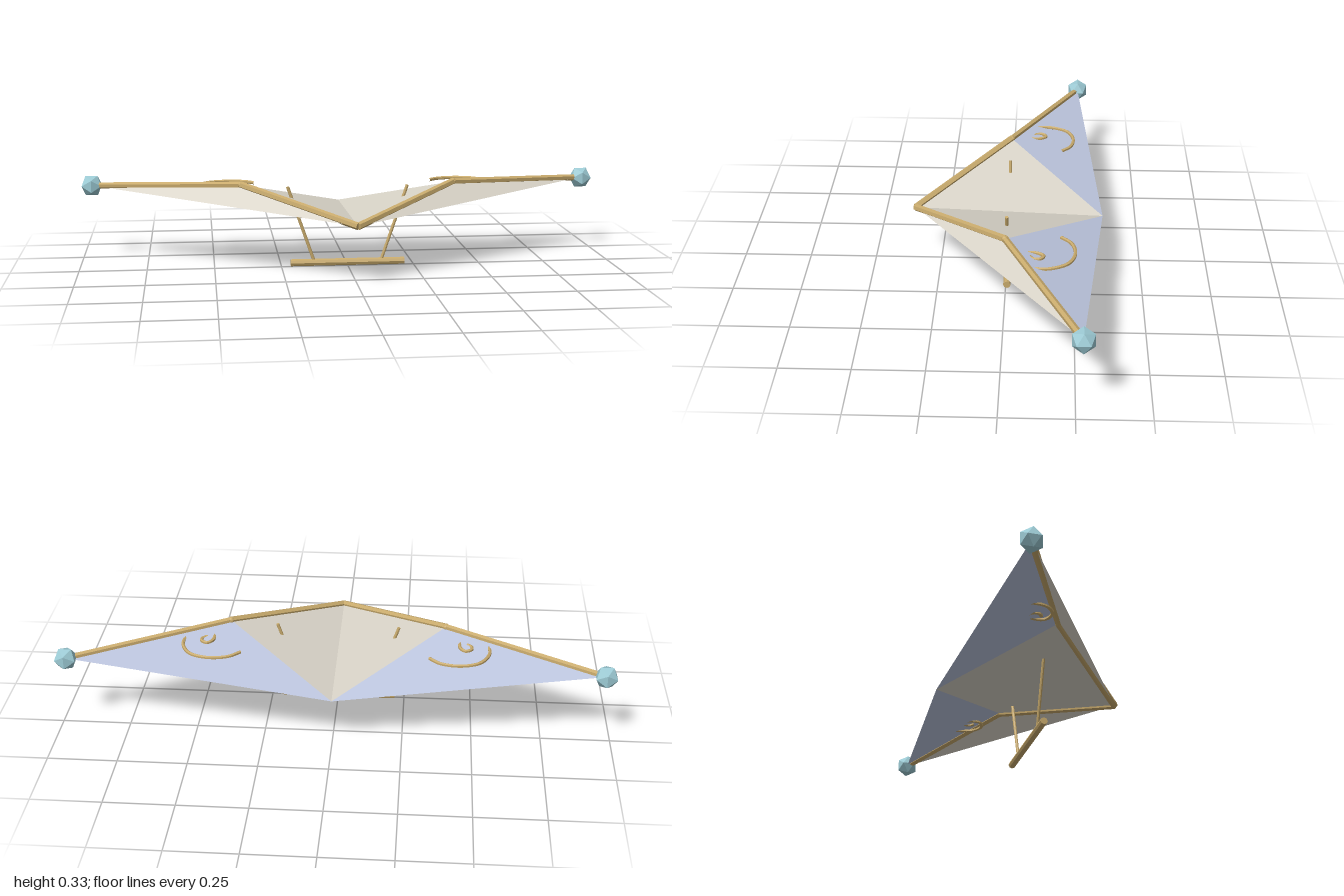
import * as THREE from 'three';

const V = (x, y, z) => new THREE.Vector3(x, y, z);

function material(name, color, extra = {}) {
  const m = new THREE.MeshStandardMaterial({ color, flatShading: true, ...extra });
  m.name = name;
  return m;
}

function addMesh(parent, name, geometry, mat) {
  const mesh = new THREE.Mesh(geometry, mat);
  mesh.name = name;
  parent.add(mesh);
  return mesh;
}

// Straight pole between two points
function addPole(parent, name, a, b, radius, sides, mat) {
  const pole = addMesh(parent, name, new THREE.CylinderGeometry(radius, radius, a.distanceTo(b), sides), mat);
  pole.position.lerpVectors(a, b, 0.5);
  pole.quaternion.setFromUnitVectors(V(0, 1, 0), b.clone().sub(a).normalize());
}

// Single cloth triangle, wound so that its front faces up
function addPanel(parent, name, a, b, c, mat) {
  const up = b.clone().sub(a).cross(c.clone().sub(a)).y > 0;
  const geometry = new THREE.BufferGeometry().setFromPoints(up ? [a, b, c] : [a, c, b]);
  geometry.computeVertexNormals();
  addMesh(parent, name, geometry, mat);
}

export function createModel() {
  const glider = new THREE.Group();
  glider.name = 'hangGlider';

  const gold = material('gold', 0xc8aa6c);
  const cream = material('cream cloth', 0xd9d4c8, { side: THREE.DoubleSide });
  const blue = material('pale blue cloth', 0xbcc5de, { side: THREE.DoubleSide });
  const crystal = material('crystal blue', 0x9ccad4);

  for (const s of [1, -1]) {
    const side = new THREE.Group();
    side.name = s > 0 ? 'leftWing' : 'rightWing';
    glider.add(side);

    const nose = V(0, 0.215, 0.342);
    const tail = V(0, 0.19, -0.356);
    const elbow = V(s * 0.398, 0.313, -0.005);
    const tip = V(s * 0.9625, 0.278, -0.27);

    // Sail cloth
    addPanel(side, 'centreSail', nose, elbow, tail, cream);
    addPanel(side, 'leadingSail', nose, tip, elbow, cream);
    addPanel(side, 'outerSail', elbow, tip, tail, blue);

    // Bent leading spar
    addPole(side, 'innerSpar', nose, elbow, 0.0135, 6, gold);
    addPole(side, 'outerSpar', elbow, tip, 0.0125, 6, gold);
    const joint = addMesh(side, 'sparJoint', new THREE.IcosahedronGeometry(0.0135, 1), gold);
    joint.position.copy(elbow);

    // Wing tip crystal
    const gem = addMesh(side, 'tipCrystal', new THREE.IcosahedronGeometry(0.044, 0), crystal);
    gem.position.copy(tip);

    // Scroll ornament, dipping through the sail
    const scroll = [
      [0.34, -0.2], [0.38, -0.235], [0.45, -0.248], [0.52, -0.222], [0.556, -0.15],
      [0.545, -0.09], [0.5, -0.06], [0.455, -0.075], [0.45, -0.115],
      [0.47, -0.14], [0.492, -0.125], [0.489, -0.102], [0.475, -0.092],
    ].map(([x, z]) => V(s * x, 0.289, z));
    const curve = new THREE.CatmullRomCurve3(scroll);
    addMesh(side, 'scroll', new THREE.TubeGeometry(curve, 60, 0.0065, 6), gold);

    // Control bar strut
    addPole(side, 'strut', V(s * 0.126, 0.015, -0.005), V(s * 0.225, 0.303, -0.005), 0.006, 8, gold);
  }

  // Control bar
  addPole(glider, 'controlBar', V(-0.215, 0.0135, -0.005), V(0.215, 0.0135, -0.005), 0.0135, 8, gold);

  return glider;
}
